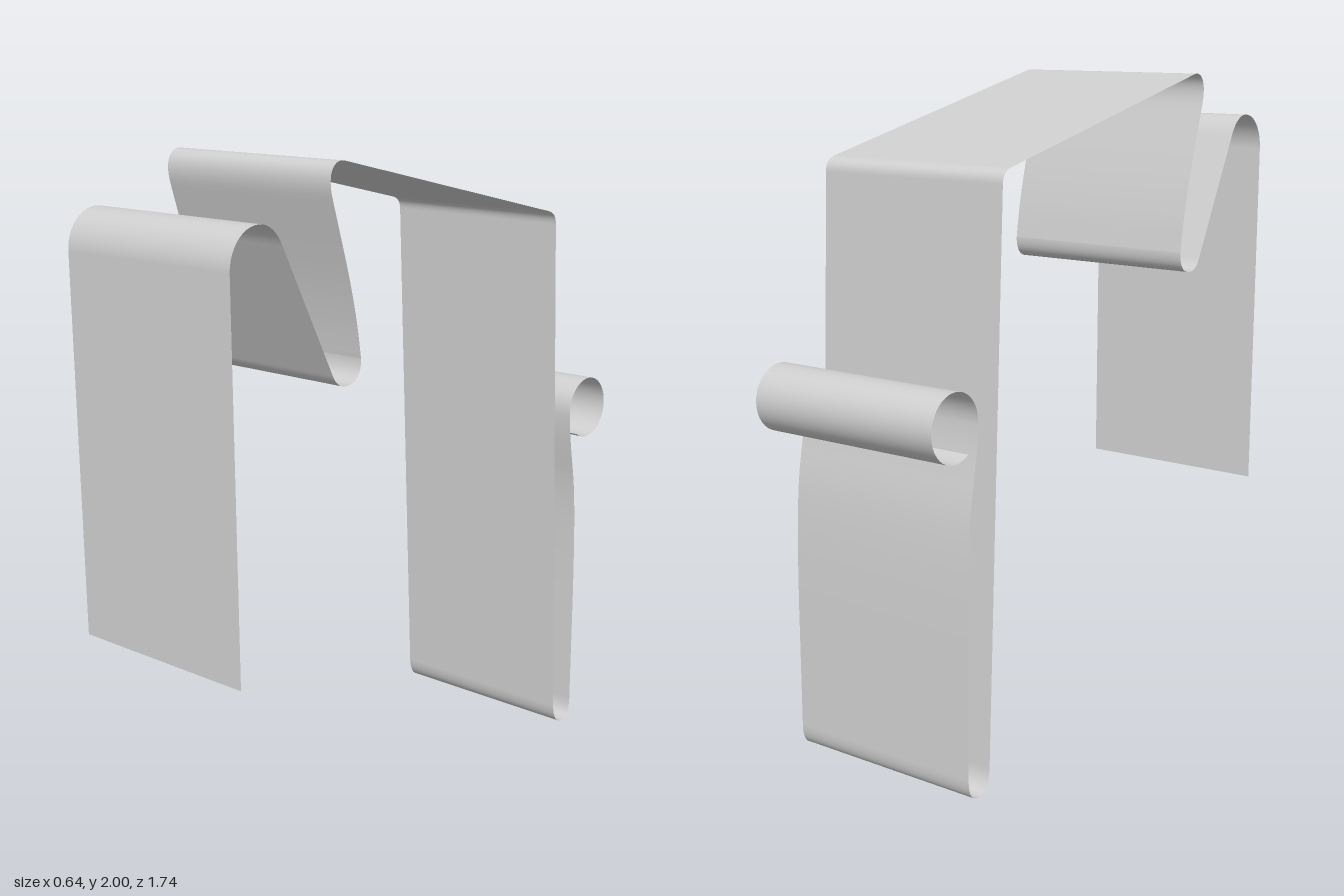
import * as THREE from 'three';

const LEFT = 0.32, RIGHT = -0.325;

// Side profile of the folded strip; path x is model z, path y is model y.
function stripProfile() {
  const v = pairs => pairs.map(([z, y]) => new THREE.Vector2(z, y));
  const p = new THREE.Path();
  // front flap and its rounded top
  p.moveTo(0.863, 0.6);
  p.lineTo(0.872, 1.74);
  p.bezierCurveTo(0.873, 1.8, 0.83, 1.858, 0.766, 1.858);
  p.bezierCurveTo(0.72, 1.858, 0.69, 1.82, 0.675, 1.785);
  // valley
  p.lineTo(0.488, 1.415);
  p.bezierCurveTo(0.472, 1.385, 0.455, 1.378, 0.43, 1.378);
  p.bezierCurveTo(0.395, 1.378, 0.371, 1.4, 0.371, 1.445);
  p.splineThru(v([[0.389, 1.553], [0.421, 1.686], [0.484, 1.895]]));
  // upper fold and sloping top
  p.bezierCurveTo(0.51, 1.975, 0.475, 2.007, 0.435, 1.998);
  p.lineTo(-0.515, 1.78);
  p.bezierCurveTo(-0.54, 1.773, -0.553, 1.762, -0.554, 1.735);
  // back wall and bottom loop
  p.lineTo(-0.627, 0.07);
  p.bezierCurveTo(-0.629, 0.025, -0.65, 0, -0.677, 0);
  p.bezierCurveTo(-0.71, 0, -0.724, 0.025, -0.724, 0.07);
  // returning rear flap
  p.lineTo(-0.723, 0.44);
  p.bezierCurveTo(-0.72, 0.85, -0.7, 0.87, -0.682, 0.98);
  p.bezierCurveTo(-0.673, 1.03, -0.668, 1.07, -0.668, 1.105);
  // rolled end
  p.absarc(-0.768, 1.105, 0.1, 0, 5.3, false);
  return p;
}

export function createModel() {
  const group = new THREE.Group();
  const points = stripProfile().getPoints(16)
    .filter((q, i, a) => i === 0 || q.distanceTo(a[i - 1]) > 1e-4)
    .reverse();

  // Bend a flat sheet along the profile
  const sheet = new THREE.PlaneGeometry(1, 1, 1, points.length - 1);
  const pos = sheet.attributes.position;
  points.forEach((q, i) => {
    pos.setXYZ(2 * i, RIGHT, q.y, q.x);
    pos.setXYZ(2 * i + 1, LEFT, q.y, q.x);
  });
  sheet.computeVertexNormals();

  const strip = new THREE.Mesh(sheet, new THREE.MeshStandardMaterial({
    color: 0xcccccc, side: THREE.DoubleSide,
  }));
  strip.name = 'foldedStrip';
  group.add(strip);
  return group;
}
